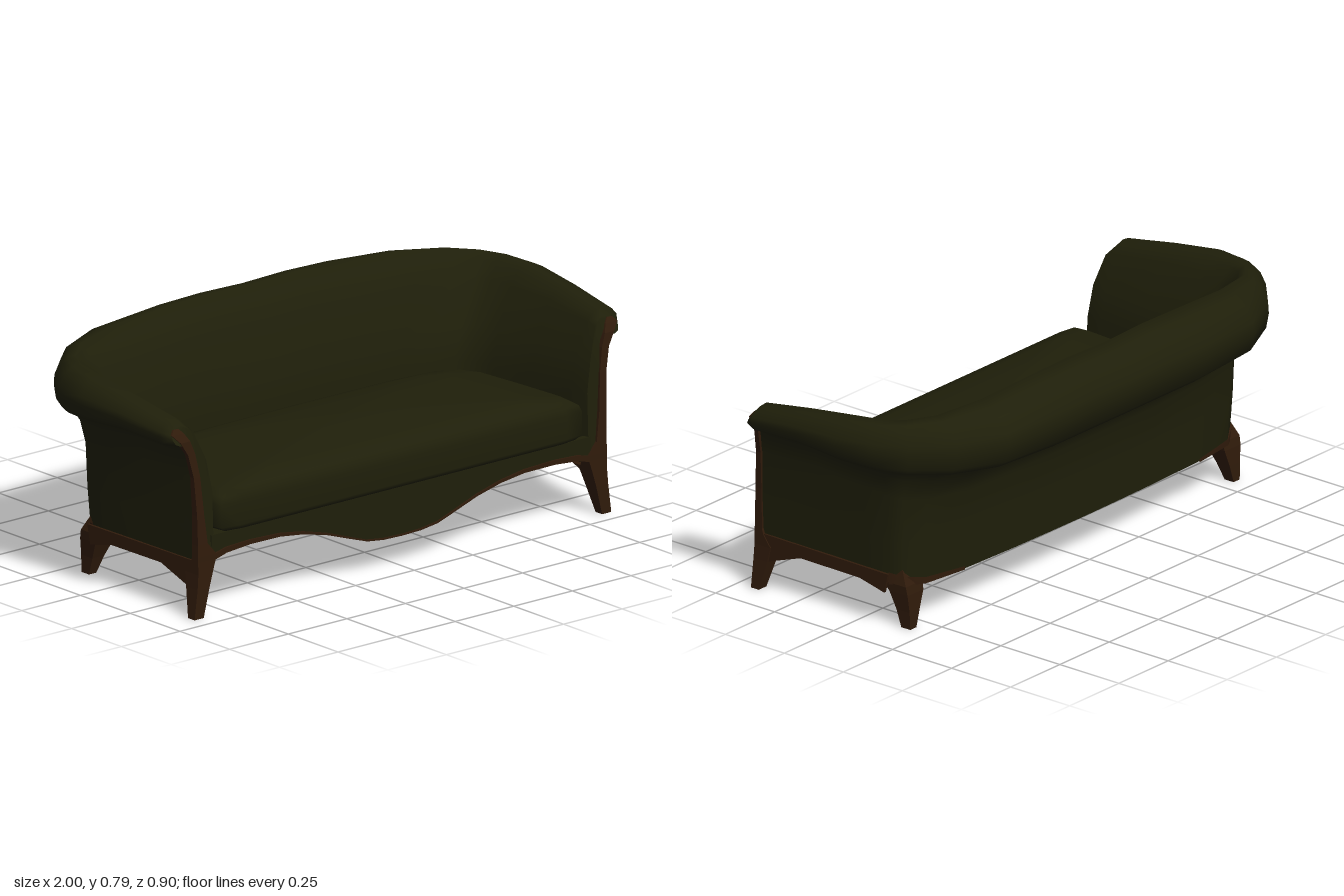
import * as THREE from 'three';

const D = THREE.DoubleSide;
const lerp = THREE.MathUtils.lerp;

// Skin a list of point rows; wrap closes each row, flat gives crisp facets
function loft(rows, wrap = false, flat = false) {
  const n = rows[0].length, m = wrap ? n : n - 1, index = [];
  for (let i = 0; i < rows.length - 1; i++) {
    for (let j = 0; j < m; j++) {
      const a = i * n + j, b = i * n + (j + 1) % n;
      index.push(a, a + n, b, b, a + n, b + n);
    }
  }
  let g = new THREE.BufferGeometry();
  g.setAttribute('position', new THREE.Float32BufferAttribute(rows.flat(2), 3));
  g.setIndex(index);
  if (flat) g = g.toNonIndexed();
  g.computeVertexNormals();
  return g;
}

// Box-like post from rows of [y, xInner, xOuter, zBack, zFront]
function post(rows, side) {
  const loops = rows.map(([y, a, b, c, d]) =>
    [[a, y, c], [a, y, d], [b, y, d], [b, y, c]].map(([x, h, z]) => [x * side, h, z]));
  const [y, a, b, c, d] = rows[0];
  const mid = [side * (a + b) / 2, y, (c + d) / 2];
  return loft([[mid, mid, mid, mid], ...loops], true, true);
}

// Horizontal plate from [x, z] points
function plate(points, y) {
  const g = new THREE.ShapeGeometry(new THREE.Shape(points.map(([x, z]) => new THREE.Vector2(x, -z))));
  return g.rotateX(-Math.PI / 2).translate(0, y, 0);
}

const mirrorList = (half) => [...half, ...half.slice(0, -1).reverse().map(([x, ...r]) => [-x, ...r])];

// Stations round the shell: inner x,z, outer wall x,z, roll rim x,z, roll top, roll underside
const STATIONS = [
  [0.80, 0.42, 0.868, 0.42, 0.95, 0.42, 0.652, 0.592],
  [0.785, 0.36, 0.868, 0.36, 0.975, 0.37, 0.677, 0.585],
  [0.775, 0.17, 0.868, 0.17, 0.99, 0.17, 0.71, 0.593],
  [0.755, 0, 0.865, -0.02, 1.0, 0, 0.735, 0.58],
  [0.73, -0.07, 0.857, -0.11, 0.97, -0.14, 0.742, 0.57],
  [0.69, -0.11, 0.838, -0.16, 0.91, -0.24, 0.747, 0.56],
  [0.61, -0.138, 0.775, -0.2, 0.79, -0.35, 0.755, 0.55],
  [0.50, -0.148, 0.60, -0.223, 0.62, -0.43, 0.768, 0.54],
  [0.33, -0.152, 0.35, -0.233, 0.36, -0.45, 0.782, 0.535],
  [0.18, -0.153, 0.18, -0.236, 0.18, -0.45, 0.786, 0.535],
  [0, -0.153, 0, -0.238, 0, -0.45, 0.781, 0.535],
];

// Arm fronts lean back towards the top
function frontZ(y) {
  if (y < 0.3) return 0.435;
  if (y < 0.6) return lerp(0.435, 0.415, (y - 0.3) / 0.3);
  return lerp(0.415, 0.38, (y - 0.6) / 0.06);
}

// Cross-section of the shell; t < 0 runs inner to outer wall, t > 0 outer wall to rim
function section([ix, iz, ox, oz, rx, rz, top, under], isEnd) {
  const h = top - under, at = (t, y) => {
    const x = t < 0 ? lerp(ox, ix, -t) : lerp(ox, rx, t);
    const z = t < 0 ? lerp(oz, iz, -t) : lerp(oz, rz, t);
    return [x, y, isEnd ? frontZ(y) : z];
  };
  return {
    roll: [
      at(-1, 0.2), at(-1, 0.42), at(-0.7, 0.53), at(-0.15, top - 0.4 * h), at(0.15, top - 0.14 * h),
      at(0.35, top), at(0.6, top - 0.05 * h), at(0.82, top - 0.15 * h), at(0.98, top - 0.37 * h),
      at(1, under + 0.45 * h), at(0.93, under + 0.19 * h), at(0.74, under + 0.06 * h), at(0.42, under),
    ],
    wall: [at(0.42, under), at(0.2, under - 0.035), at(0.03, under - 0.11), at(-0.02, 0.3), at(-0.1, 0.147)],
  };
}

export function createModel() {
  const group = new THREE.Group();
  const fabric = new THREE.MeshStandardMaterial({ color: 0x1f1f0a, side: D });
  const wood = new THREE.MeshStandardMaterial({ color: 0x301b0b, side: D });
  const darkWood = new THREE.MeshStandardMaterial({ color: 0x281207, side: D });
  fabric.name = 'olive fabric';
  wood.name = 'brown wood';
  darkWood.name = 'dark underside';
  const add = (name, geometry, material) => {
    const mesh = new THREE.Mesh(geometry, material);
    mesh.name = name;
    group.add(mesh);
  };

  // Wrap-around back and arms with rolled rim
  const half = STATIONS.map((s, i) => section(s, i === 0));
  for (const [key, name] of [['roll', 'rolledBackAndArms'], ['wall', 'outerWall']]) {
    const rows = half.map((s) => s[key]);
    const mirrored = rows.slice(0, -1).reverse().map((r) => r.map(([x, y, z]) => [-x, y, z]));
    add(name, loft([...rows, ...mirrored]), fabric);
  }

  // Seat deck, recessed bottom panel and thin rail under the walls
  const base = half.map((s) => s.wall.at(-1));
  add('seatDeck', plate(mirrorList(STATIONS.map((s) => [s[0], s[1]])), 0.262), fabric);
  add('bottomPanel', plate(mirrorList(base.map(([x, , z]) => [x * 0.99, z * 0.96])), 0.21), darkWood);
  const lower = mirrorList(base.slice(1));
  add('bottomRail', loft([lower.map(([x, , z]) => [x, 0.147, z]),
    lower.map(([x, , z]) => [x * 0.975, 0.147, z < 0 ? z + 0.02 : z])]), wood);

  // Crowned seat cushion
  const cushion = mirrorList([
    [0, 0.447], [0.4, 0.447], [0.7, 0.447], [0.77, 0.437], [0.778, 0.38], [0.765, 0.2], [0.745, 0],
    [0.71, -0.068], [0.63, -0.113], [0.45, -0.13], [0, -0.135],
  ]).slice(0, -1);
  const layers = [[0, 0.272], [0.97, 0.272], [1, 0.288], [1, 0.365], [0.985, 0.39], [0.94, 0.41],
    [0.75, 0.43], [0.4, 0.445], [0, 0.45]];
  add('seatCushion', loft(layers.map(([s, y]) =>
    cushion.map(([x, z]) => [x * s, y, 0.15 + (z - 0.15) * s])), true), fabric);

  // Scalloped front apron and its wooden edge
  const wave = mirrorList([[0.81, 0.185], [0.75, 0.202], [0.65, 0.21], [0.52, 0.209], [0.42, 0.196],
    [0.32, 0.172], [0.22, 0.138], [0.15, 0.115], [0.08, 0.106], [0, 0.104]]);
  const slab = (points, depth, z) => new THREE.ExtrudeGeometry(
    new THREE.Shape(points.map(([x, y]) => new THREE.Vector2(x, y))),
    { depth, bevelEnabled: false }).translate(0, 0, z);
  add('frontApron', slab([...wave, [-0.81, 0.272], [0.81, 0.272]], 0.022, 0.413), fabric);
  const upper = wave.map(([x, y]) => [x, y + 0.005 + 0.025 * Math.abs(x) ** 2]).reverse();
  add('apronTrim', slab([...wave, ...upper], 0.025, 0.416), wood);

  for (const side of [1, -1]) {
    const label = side > 0 ? 'left' : 'right';

    // Upholstered arm front
    const profile = [...half[0].roll, ...half[0].wall];
    const cap = new THREE.ShapeGeometry(new THREE.Shape(profile.map(([x, y]) => new THREE.Vector2(x * side, y))));
    const p = cap.attributes.position;
    for (let i = 0; i < p.count; i++) p.setZ(i, frontZ(p.getY(i)));
    cap.computeVertexNormals();
    add(label + 'ArmFront', cap, fabric);

    // Front leg sweeping up into the arm post and scroll
    add(label + 'FrontLegAndPost', post([
      [0, 0.85, 0.889, 0.41, 0.443], [0.1, 0.825, 0.876, 0.385, 0.443], [0.15, 0.81, 0.872, 0.375, 0.442],
      [0.19, 0.797, 0.872, 0.405, 0.441], [0.21, 0.795, 0.872, 0.411, 0.441], [0.25, 0.83, 0.872, 0.411, 0.44],
      [0.35, 0.843, 0.873, 0.412, 0.437], [0.48, 0.853, 0.88, 0.41, 0.429], [0.56, 0.868, 0.898, 0.405, 0.421],
      [0.605, 0.885, 0.925, 0.395, 0.416], [0.632, 0.9, 0.95, 0.38, 0.401], [0.648, 0.915, 0.935, 0.375, 0.391],
    ], side), wood);

    // Splayed back leg
    add(label + 'BackLeg', post([
      [0, 0.805, 0.836, -0.188, -0.15], [0.06, 0.787, 0.838, -0.187, -0.131],
      [0.12, 0.765, 0.845, -0.184, -0.107], [0.15, 0.76, 0.847, -0.178, -0.08], [0.2, 0.79, 0.83, -0.15, -0.1],
    ], side), wood);

    // Thin side rail with arched lower edge
    const rail = slab([[0.43, 0.09], [0.385, 0.1], [0.25, 0.147], [0, 0.145], [-0.105, 0.12],
      [-0.12, 0.187], [0.43, 0.192]], 0.009, -0.0045);
    rail.rotateY(-Math.PI / 2).translate(side * 0.8645, 0, 0);
    add(label + 'SideRail', rail, wood);

    // Wooden corner band above the back leg
    const corner = base.slice(4, 8).map(([x, , z]) => [x * side * 1.009, z - 0.004]);
    add(label + 'CornerBand', loft([0.145, 0.187].map((y, k) =>
      corner.map(([x, z], i) => [x, k ? y - 0.01 * i : y, z]))), wood);
  }

  return group;
}
